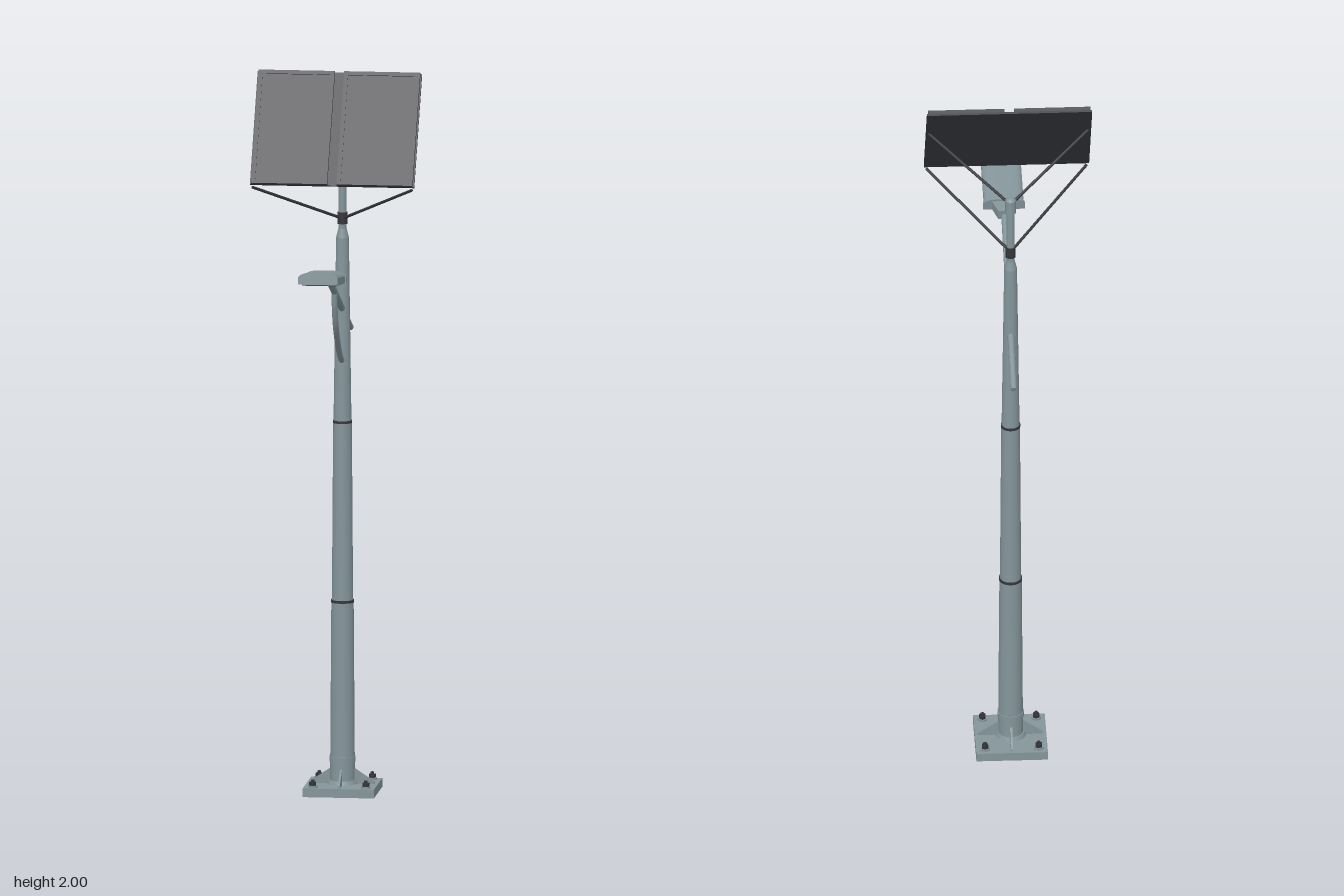
import * as THREE from 'three';

const steel = new THREE.MeshStandardMaterial({ color: 0x84959b });
steel.name = 'galvanised steel';
const dark = new THREE.MeshStandardMaterial({ color: 0x35363b });
dark.name = 'dark metal';
const cell = new THREE.MeshStandardMaterial({ color: 0x434348 });
cell.name = 'solar cell';

const POLE_Z = -0.195;
const V = (x, y, z) => new THREE.Vector3(x, y, z);

function add(parent, name, geometry, material, x = 0, y = 0, z = 0) {
  const mesh = new THREE.Mesh(geometry, material);
  mesh.name = name;
  mesh.position.set(x, y, z);
  parent.add(mesh);
  return mesh;
}

// upright cylinder on the pole axis, between two heights
function ring(parent, name, y0, y1, r0, r1, material = steel) {
  return add(parent, name, new THREE.CylinderGeometry(r1, r0, y1 - y0, 32), material, 0, (y0 + y1) / 2, POLE_Z);
}

// straight round bar between two points
function bar(parent, name, a, b, r, material) {
  const mesh = add(parent, name, new THREE.CylinderGeometry(r, r, a.distanceTo(b), 10), material);
  mesh.position.copy(a).add(b).multiplyScalar(0.5);
  mesh.quaternion.setFromUnitVectors(V(0, 1, 0), b.clone().sub(a).normalize());
}

function createBase() {
  const base = new THREE.Group();
  base.name = 'base';
  add(base, 'basePlate', new THREE.BoxGeometry(0.195, 0.024, 0.195), steel, 0, 0.012, POLE_Z);
  ring(base, 'baseFlange', 0.024, 0.034, 0.042, 0.038);
  ring(base, 'baseCollar', 0.085, 0.1, 0.036, 0.036);

  // triangular stiffeners around the foot of the pole
  const fin = new THREE.Shape([[0.02, 0], [0.088, 0], [0.088, 0.006], [0.034, 0.042], [0.02, 0.042]]
    .map(p => new THREE.Vector2(...p)));
  const finGeometry = new THREE.ExtrudeGeometry(fin, { depth: 0.006, bevelEnabled: false }).translate(0, 0, -0.003);
  for (let i = 0; i < 4; i++) {
    add(base, 'gusset', finGeometry, steel, 0, 0.024, POLE_Z).rotation.y = i * Math.PI / 2;
  }

  // anchor bolts
  for (const sx of [-1, 1]) for (const sz of [-1, 1]) {
    const x = sx * 0.073, z = POLE_Z + sz * 0.075;
    add(base, 'washer', new THREE.CylinderGeometry(0.013, 0.013, 0.005, 20), steel, x, 0.0265, z);
    add(base, 'nut', new THREE.CylinderGeometry(0.01, 0.01, 0.01, 6), dark, x, 0.034, z);
    add(base, 'boltEnd', new THREE.CylinderGeometry(0.005, 0.005, 0.006, 12), dark, x, 0.042, z);
  }
  return base;
}

function createPole() {
  const pole = new THREE.Group();
  pole.name = 'pole';
  ring(pole, 'lowerPole', 0.024, 0.53, 0.034, 0.0305);
  ring(pole, 'middlePole', 0.53, 1.025, 0.029, 0.0255);
  ring(pole, 'upperPole', 1.025, 1.53, 0.0245, 0.0175);
  ring(pole, 'poleShoulder', 1.53, 1.555, 0.0175, 0.0115);
  ring(pole, 'mast', 1.555, 1.72, 0.011, 0.011);
  ring(pole, 'lowerBand', 0.524, 0.531, 0.0315, 0.0315, dark);
  ring(pole, 'upperBand', 1.019, 1.026, 0.0265, 0.0265, dark);
  ring(pole, 'strutClamp', 1.568, 1.6, 0.014, 0.014, dark);
  ring(pole, 'mastCap', 1.71, 1.75, 0.0145, 0.0145);
  ring(pole, 'mastCapTop', 1.75, 1.757, 0.0145, 0.009);
  return pole;
}

function createLampArm() {
  const arm = new THREE.Group();
  arm.name = 'lampArm';
  const path = new THREE.CurvePath();
  const knee = V(0, 1.415, 0);
  path.add(new THREE.LineCurve3(V(0, 1.252, -0.374), knee));
  path.add(new THREE.QuadraticBezierCurve3(knee, V(0, 1.465, 0.113), V(0, 1.476, 0.175)));
  add(arm, 'armTube', new THREE.TubeGeometry(path, 40, 0.009, 14), steel);
  const end = add(arm, 'armEnd', new THREE.CircleGeometry(0.009, 14), steel, 0, 1.252, -0.374);
  end.lookAt(V(0, 1.087, -0.748));
  const brace = new THREE.CatmullRomCurve3([V(0, 1.412, -0.008), V(0, 1.365, -0.016), V(0, 1.31, -0.04),
    V(0, 1.25, -0.092), V(0, 1.212, -0.14), V(0, 1.19, -0.185)]);
  add(arm, 'curvedBrace', new THREE.TubeGeometry(brace, 32, 0.008, 12), steel);
  return arm;
}

// arched housing cross-section: flat underside, gently domed top
function housingGeometry(w, h, depth) {
  const s = new THREE.Shape();
  s.moveTo(-w / 2, 0);
  s.lineTo(w / 2, 0);
  s.lineTo(w / 2, h * 0.6);
  s.bezierCurveTo(w * 0.42, h, w * 0.25, h, 0, h);
  s.bezierCurveTo(-w * 0.25, h, -w * 0.42, h, -w / 2, h * 0.6);
  return new THREE.ExtrudeGeometry(s, { depth, bevelEnabled: false, curveSegments: 10 });
}

function createLampHead() {
  const head = new THREE.Group();
  head.name = 'lampHead';
  head.position.set(0, 1.47, 0.196);
  head.rotation.x = -0.135;
  add(head, 'housing', housingGeometry(0.108, 0.033, 0.182), steel);
  add(head, 'rearRim', housingGeometry(0.114, 0.035, 0.008), steel, 0, -0.001, 0);
  add(head, 'lens', new THREE.BoxGeometry(0.09, 0.004, 0.15), dark, 0, -0.001, 0.094);

  // neck narrowing from the housing towards the arm
  const neck = new THREE.BoxGeometry(0.066, 0.028, 0.042);
  const p = neck.attributes.position;
  for (let i = 0; i < p.count; i++) {
    if (p.getZ(i) < 0) p.setX(i, p.getX(i) * 0.52);
  }
  neck.computeVertexNormals();
  add(head, 'neck', neck, steel, 0, 0.014, -0.02);
  return head;
}

function createSolarPanel() {
  const panel = new THREE.Group();
  panel.name = 'solarPanel';
  panel.position.set(0, 1.855, -0.041);
  panel.rotation.x = -0.57;
  add(panel, 'backPlate', new THREE.BoxGeometry(0.45, 0.335, 0.006), dark, 0, 0, -0.005);

  // framed modules with a gap between them
  const w = 0.208, h = 0.335, rim = 0.011;
  const frame = new THREE.Shape([[-w / 2, -h / 2], [w / 2, -h / 2], [w / 2, h / 2], [-w / 2, h / 2]]
    .map(q => new THREE.Vector2(...q)));
  const iw = w / 2 - rim, ih = h / 2 - rim;
  frame.holes.push(new THREE.Path([[-iw, -ih], [-iw, ih], [iw, ih], [iw, -ih]].map(q => new THREE.Vector2(...q))));
  const frameGeometry = new THREE.ExtrudeGeometry(frame, { depth: 0.01, bevelEnabled: false });
  for (const side of [-1, 1]) {
    add(panel, 'moduleFrame', frameGeometry, cell, side * 0.117, 0, -0.002);
    add(panel, 'solarCells', new THREE.BoxGeometry(iw * 2, ih * 2, 0.007), cell, side * 0.117, 0, 0.0015);
  }
  return panel;
}

function createStruts() {
  const struts = new THREE.Group();
  struts.name = 'panelStruts';
  for (const side of [-1, 1]) {
    bar(struts, 'lowerStrut', V(0, 1.582, POLE_Z), V(side * 0.218, 1.704, 0.044), 0.004, dark);
    bar(struts, 'upperStrut', V(0, 1.735, POLE_Z), V(side * 0.218, 1.893, -0.072), 0.004, dark);
  }
  return struts;
}

export function createModel() {
  const model = new THREE.Group();
  model.name = 'solarStreetLight';
  model.add(createBase(), createPole(), createLampArm(), createLampHead(), createSolarPanel(), createStruts());
  return model;
}
